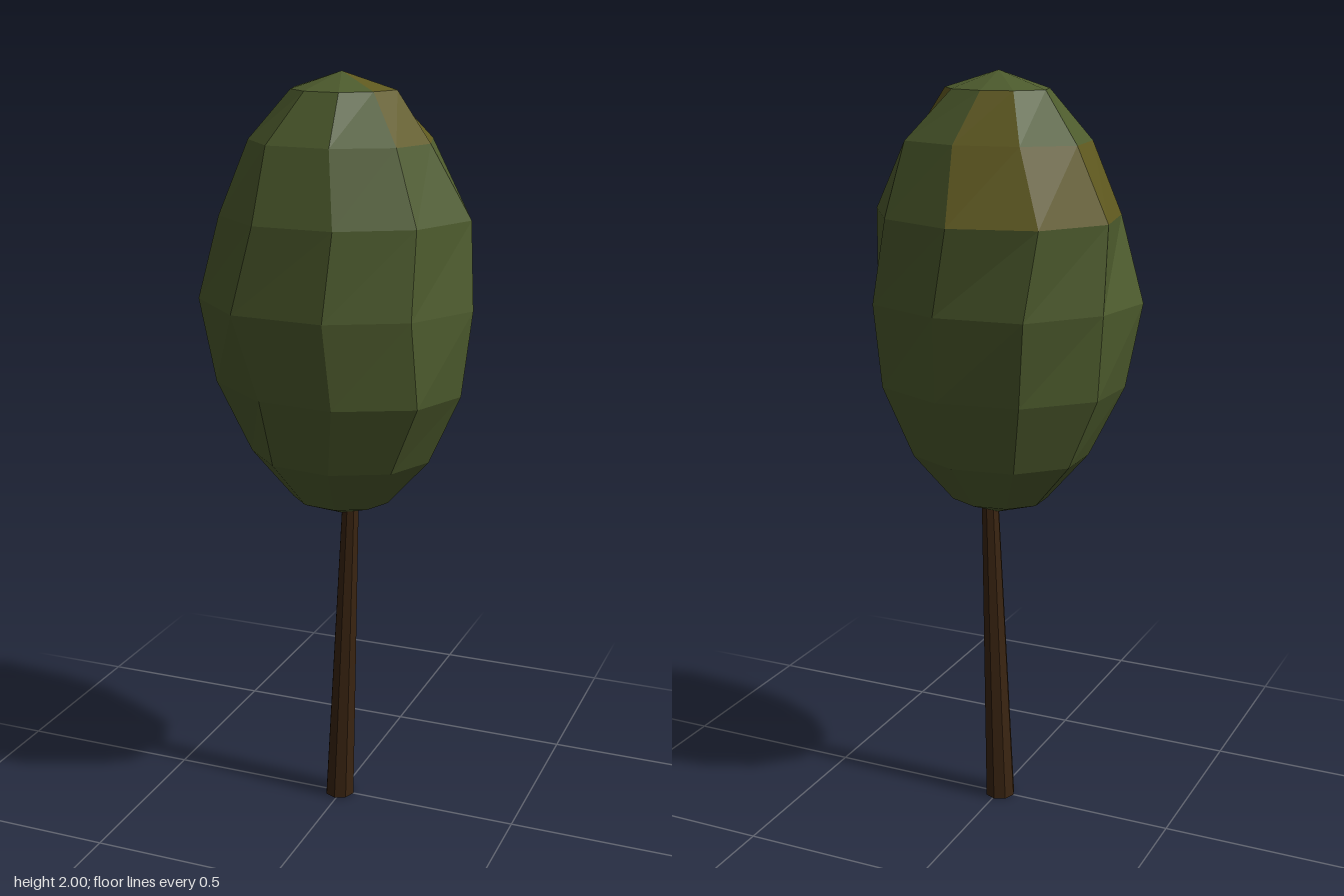
import * as THREE from 'three';

const SIDES = 9, RINGS = 8;

// Nudges (x, z pairs in hundredths) that roughen the crown, ring by ring from the top
const NUDGES = {
  1: [0.8, -2, 0.4, -1.6, 1.2, 0, 0.6, 0.4, 0.4, 0.7, -1.6, 0.8, -1.4, 0.6, -2.3, 0, -1.1, -1.4],
  2: [-1, -0.5, 0, -1.7, 0, -1, -0.8, 0.2, 0, -0.5, -1.6, -1, -0.8, 1.3, -0.7, 0.7, 0.8, -0.8],
  3: [1.6, -3.5, 1, -2, 2, -1, 2, 1.5, 1, 2.8, -2.5, 2.5, -5, 0, -4.5, -2.6, -2.4, -3.3],
  4: [1, 0, -0.9, 0, 0, 0, -2, 1.4, -3.5, 0.6, 0, 1, -1, -1, -1, 0, 0, -1],
  5: [1.2, 1, 2.5, 0, 2, 0, 3, 1, -2, 0, -1, 1, 0, 0, 0, 0, 1, 0],
};

// Facets (ring, side) that have turned yellow
const YELLOW = new Set(['0,0', '1,0', '1,8', '1,6', '2,4', '2,5', '2,6']);

function crownPoint(ring, side) {
  const tilt = (ring / RINGS) * Math.PI;
  const j = side % SIDES;
  const turn = (j / SIDES) * Math.PI * 2;
  const n = NUDGES[ring];
  const r = Math.sin(tilt);
  return [
    0.345 * r * Math.cos(turn) + (n ? n[2 * j] / 100 : 0),
    1.42 + 0.58 * Math.cos(tilt),
    0.29 * r * Math.sin(turn) + (n ? n[2 * j + 1] / 100 : 0),
  ];
}

// Gathers the crown facets of one colour
function crownGeometry(yellow) {
  const pos = [];
  for (let i = 0; i < RINGS; i++) {
    for (let j = 0; j < SIDES; j++) {
      if (YELLOW.has(`${i},${j}`) !== yellow) continue;
      const a = crownPoint(i, j), b = crownPoint(i, j + 1);
      const c = crownPoint(i + 1, j + 1), d = crownPoint(i + 1, j);
      if (i > 0) pos.push(...a, ...b, ...c);
      if (i < RINGS - 1) pos.push(...a, ...c, ...d);
    }
  }
  const g = new THREE.BufferGeometry();
  g.setAttribute('position', new THREE.Float32BufferAttribute(pos, 3));
  g.computeVertexNormals();
  return g;
}

export function createModel() {
  const group = new THREE.Group();
  const material = (name, color) =>
    Object.assign(new THREE.MeshStandardMaterial({ color, flatShading: true }), { name });
  const add = (name, geometry, mat) => {
    const mesh = new THREE.Mesh(geometry, mat);
    mesh.name = name;
    group.add(mesh);
  };

  // Egg-shaped crown with yellowed patches
  add('crown', crownGeometry(false), material('leafGreen', 0x4d5b2d));
  add('yellowLeaves', crownGeometry(true), material('leafYellow', 0x5f591f));

  // Slim tapering trunk, leaning slightly to its left
  const trunk = new THREE.CylinderGeometry(0.023, 0.043, 0.95, 8);
  trunk.translate(0, 0.475, 0);
  const p = trunk.attributes.position;
  for (let i = 0; i < p.count; i++) p.setX(i, p.getX(i) * 0.95 - 0.005 + 0.035 * p.getY(i));
  trunk.computeVertexNormals();
  add('trunk', trunk, material('bark', 0x3a2411));

  return group;
}
